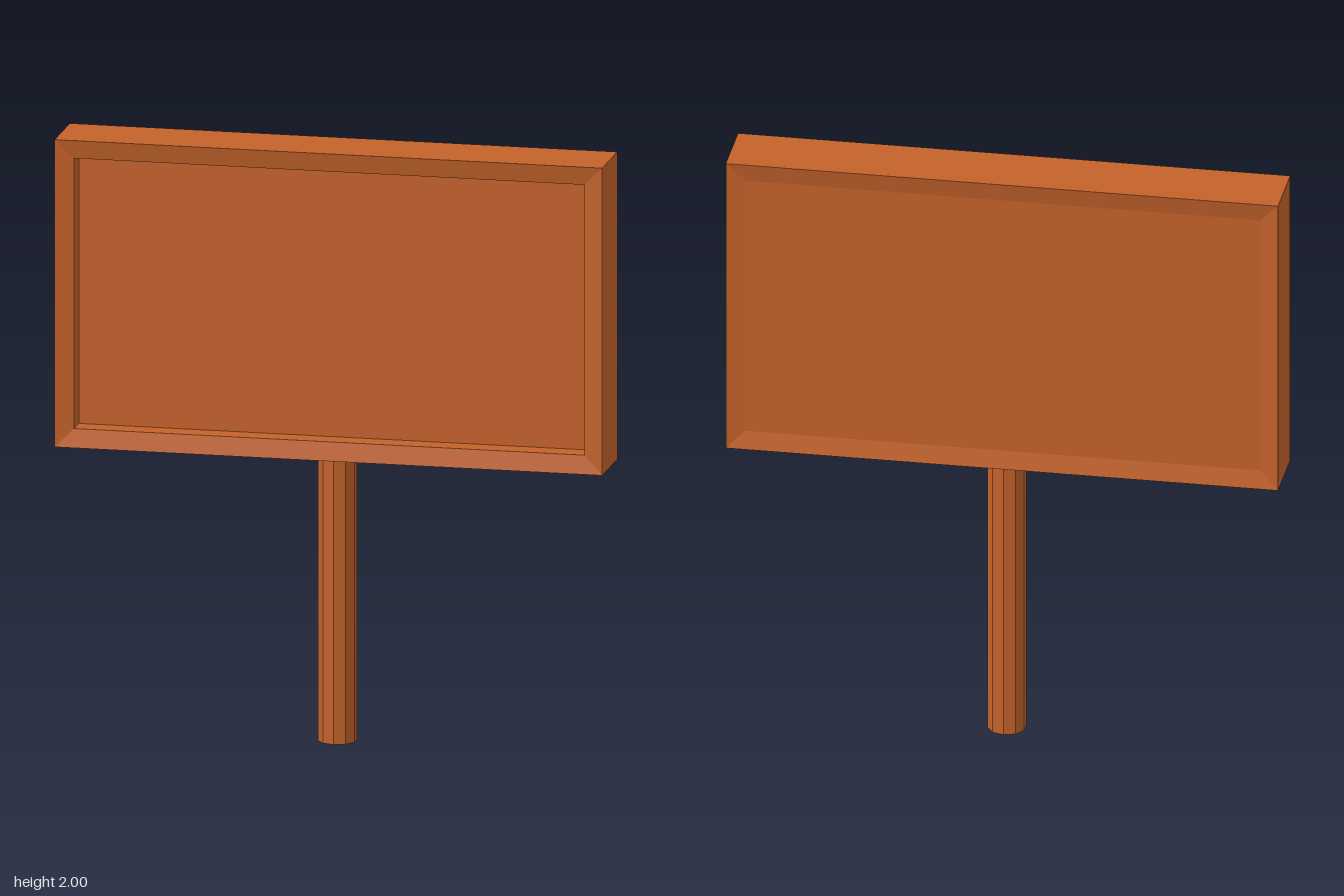
import * as THREE from 'three';

const material = new THREE.MeshStandardMaterial({ color: 0xc4622a, flatShading: true });

// Joins rectangular rings [halfWidth, halfHeight, z] in order; caps the first (facing -z) and last (facing +z).
function loftRectangles(rings) {
  const positions = [];
  const index = [];
  for (const [w, h, z] of rings) positions.push(-w, -h, z, w, -h, z, w, h, z, -w, h, z);
  for (let r = 0; r < rings.length - 1; r++) {
    for (let i = 0; i < 4; i++) {
      const a = r * 4 + i;
      const b = r * 4 + ((i + 1) % 4);
      index.push(a, b, b + 4, a, b + 4, a + 4);
    }
  }
  const e = (rings.length - 1) * 4;
  index.push(0, 2, 1, 0, 3, 2, e, e + 1, e + 2, e, e + 2, e + 3);
  const geometry = new THREE.BufferGeometry();
  geometry.setAttribute('position', new THREE.Float32BufferAttribute(positions, 3));
  geometry.setIndex(index);
  const flat = geometry.toNonIndexed();
  flat.computeVertexNormals();
  return flat;
}

export function createModel() {
  const group = new THREE.Group();
  group.name = 'billboard';

  // Board: slightly dished back, outer walls, inward-sloping front rim, recessed display panel
  const W = 0.913, H = 0.515, D = 0.115, rim = 0.062, dish = 0.012;
  const board = new THREE.Mesh(
    loftRectangles([
      [W - rim, H - rim, -D + dish],
      [W, H, -D],
      [W, H, D],
      [W - rim, H - rim, D - dish],
      [W - rim, H - rim, 0.03],
    ]),
    material
  );
  board.name = 'board';
  board.position.y = 2 - H;
  group.add(board);

  // Post: ten-sided, set a little behind the middle of the board
  const postHeight = 2 - 2 * H;
  const post = new THREE.Mesh(new THREE.CylinderGeometry(0.064, 0.064, postHeight, 10), material);
  post.name = 'post';
  post.position.set(-0.002, postHeight / 2, -0.033);
  group.add(post);

  return group;
}
